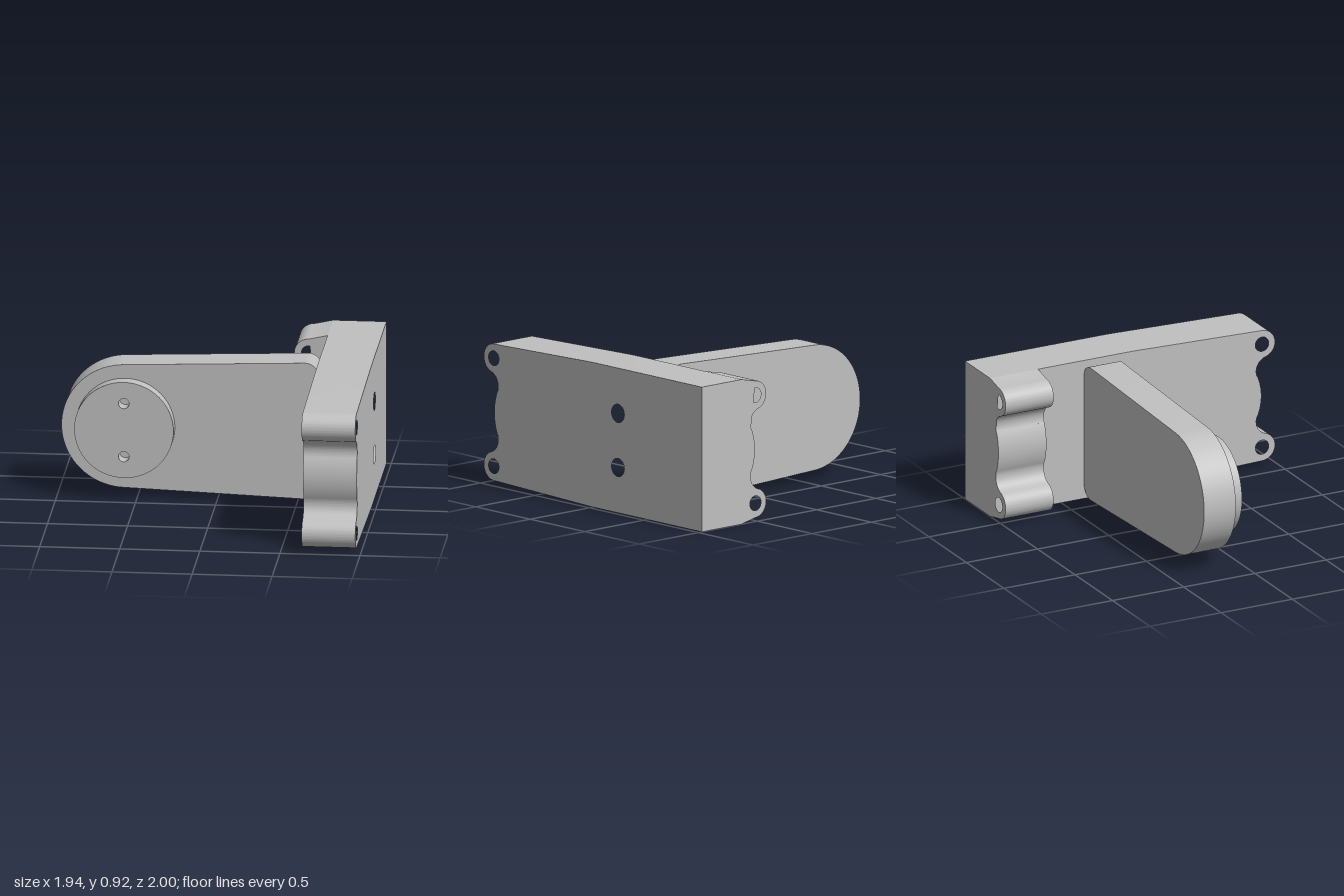
import * as THREE from 'three';
import { toCreasedNormals } from 'three/addons/utils/BufferGeometryUtils.js';

const MID = 0.46; // half height, the mirror line of every profile
const BOLT_YS = [MID - 0.172, MID + 0.172];

function extrude(shape, depth) {
  const g = new THREE.ExtrudeGeometry(shape, { depth, bevelEnabled: false, curveSegments: 32 });
  return toCreasedNormals(g, 0.5);
}

function addHole(shape, x, y, r) {
  shape.holes.push(new THREE.Path().absarc(x, y, r, 0, Math.PI * 2, true));
}

// Scalloped end: lobe, hollow, shallow bulge, hollow, lobe (top to bottom).
// c is the position of the lobe centres along the outward axis.
function scallop(shape, c) {
  const lobeY = 0.343, r = 0.091;
  const hollowX = c + 0.05, hollowY = lobeY - 0.175;
  const bulgeX = c - 0.346, bulgeR = 0.341;
  const t = Math.atan2(0.175, 0.05);
  const b = Math.atan2(hollowY, hollowX - bulgeX);
  shape.absarc(c, MID + lobeY, r, Math.PI / 2, -t, true);
  shape.absarc(hollowX, MID + hollowY, r, Math.PI - t, Math.PI + b, false);
  shape.absarc(bulgeX, MID, bulgeR, b, -b, true);
  shape.absarc(hollowX, MID - hollowY, r, Math.PI - b, Math.PI + t, false);
  shape.absarc(c, MID - lobeY, r, t, -Math.PI / 2, true);
  for (const s of [-1, 1]) addHole(shape, c, MID + s * lobeY, 0.047);
}

export function createModel() {
  const group = new THREE.Group();
  const grey = new THREE.MeshStandardMaterial({ color: 0xc0c0c0 });
  grey.name = 'grey';
  const add = (name, geometry) => {
    const mesh = new THREE.Mesh(geometry, grey);
    mesh.name = name;
    group.add(mesh);
  };

  // Long side plate, notched below for the drilled base slab
  const slabH = 0.15, slabEnd = -0.05;
  const plate = new THREE.Shape();
  plate.moveTo(slabEnd, slabH);
  plate.lineTo(-1, slabH);
  plate.lineTo(-1, 0.92);
  plate.lineTo(0, 0.92);
  scallop(plate, 0.909);
  plate.lineTo(0, 0);
  plate.lineTo(slabEnd, 0);
  plate.closePath();
  for (const y of BOLT_YS) addHole(plate, -0.23, y, 0.058);
  add('sidePlate', extrude(plate, 0.335).rotateY(-Math.PI / 2).translate(0.97, 0, 0));

  // Base slab with two blind holes underneath
  const slab = new THREE.Shape();
  slab.moveTo(0.635, -slabEnd);
  slab.lineTo(0.97, -slabEnd);
  slab.lineTo(0.97, 1);
  slab.lineTo(0.635, 1);
  slab.closePath();
  for (const z of [-0.23, -0.9]) addHole(slab, 0.82, -z, 0.032);
  add('baseSlab', extrude(slab, slabH).rotateX(-Math.PI / 2));

  // Ledges inside the plate's bolt holes
  for (const y of BOLT_YS) {
    const ring = new THREE.Shape().absarc(-0.23, y, 0.058, 0, Math.PI * 2, false);
    addHole(ring, -0.23, y, 0.043);
    add('boltLedge', extrude(ring, 0.11).rotateY(-Math.PI / 2).translate(0.745, 0, 0));
  }

  // Short scalloped foot at the back
  const foot = new THREE.Shape();
  foot.moveTo(-0.635, 0);
  foot.lineTo(-0.635, 0.92);
  scallop(foot, -0.518);
  foot.closePath();
  add('rearFoot', extrude(foot, 0.337).rotateY(Math.PI).translate(0, 0, -0.663));

  // Tapered arm with a round end and softened inner corners
  const tilt = 0.038, endX = 0.635, cx = -0.575, r = 0.398, fillet = 0.09;
  const fx = endX - fillet;
  const fy = r / Math.cos(tilt) + (fx - cx) * Math.tan(tilt) - fillet / Math.cos(tilt);
  const arm = new THREE.Shape();
  arm.absarc(cx, MID, r, Math.PI / 2 + tilt, Math.PI * 1.5 - tilt, false);
  arm.absarc(fx, MID - fy, fillet, -Math.PI / 2 - tilt, 0, false);
  arm.absarc(fx, MID + fy, fillet, 0, Math.PI / 2 + tilt, false);
  arm.closePath();
  add('arm', extrude(arm, 0.222).translate(0, 0, -0.342));

  // Round boss with two pin holes
  const boss = new THREE.Shape().absarc(cx, MID, 0.31, 0, Math.PI * 2, false);
  for (const y of BOLT_YS) addHole(boss, cx, y, 0.033);
  add('boss', extrude(boss, 0.09).translate(0, 0, -0.12));

  return group;
}
